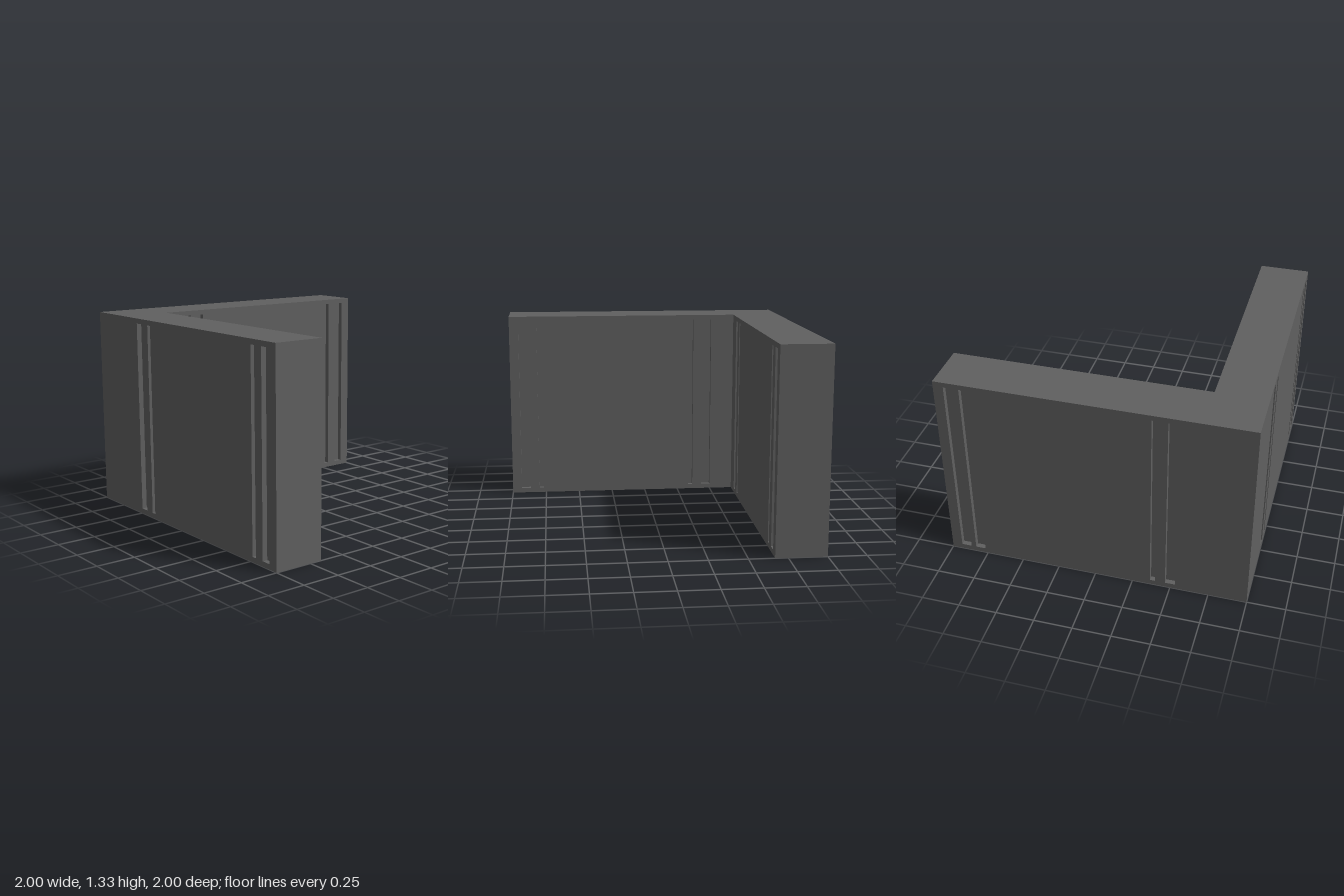
import * as THREE from 'three';
import { mergeGeometries } from 'three/addons/utils/BufferGeometryUtils.js';

const U = 1 / 30;            // layout unit
const H = 40 * U;            // wall height
const INNER = -20 * U;       // inner corner of the L, on x and z
const G0 = U, G1 = 39 * U;   // bottom and top of the grooves
const DEPTH = U;

// Five-sided recess, open toward +z, with its faces turned inward
function recess(a, b) {
  const g = new THREE.BoxGeometry(b - a, G1 - G0, DEPTH);
  const index = Array.from(g.index.array);
  index.splice(24, 6); // drop the front
  g.setIndex(index.reverse());
  g.clearGroups();
  g.computeVertexNormals();
  g.translate((a + b) / 2, (G0 + G1) / 2, -DEPTH / 2);
  return g;
}

function rectangle(Type, x0, x1, y0, y1) {
  return new Type([[x0, y0], [x1, y0], [x1, y1], [x0, y1]].map(([x, y]) => new THREE.Vector2(x, y)));
}

// Upright wall face in the local xy plane, pierced by vertical grooves
function wallFace(x0, x1, grooves) {
  const shape = rectangle(THREE.Shape, x0, x1, 0, H);
  const spans = grooves.map(([a, b]) => [Math.min(a, b) * U, Math.max(a, b) * U]);
  spans.forEach(([a, b]) => shape.holes.push(rectangle(THREE.Path, a, b, G0, G1)));
  return mergeGeometries([new THREE.ShapeGeometry(shape), ...spans.map(([a, b]) => recess(a, b))]);
}

export function createModel() {
  const model = new THREE.Group();
  model.name = 'cornerWall';
  const stone = new THREE.MeshStandardMaterial({ color: 0x606060 });
  stone.name = 'darkGrey';

  const add = (name, geometry, x, y, z, ry = 0, rx = 0) => {
    const mesh = new THREE.Mesh(geometry, stone);
    mesh.name = name;
    mesh.position.set(x, y, z);
    mesh.rotation.set(rx, ry, 0);
    model.add(mesh);
  };
  const mirrored = (list) => list.map(([a, b]) => [-a, -b]);

  // Groove spans along x (back wall) and along z (side wall)
  const frontGrooves = [[-16, -14], [-12, -11], [23, 24], [26, 28]];
  const backGrooves = [[-16, -14], [-12, -11], [23, 25], [26, 28]];
  const sideGrooves = [[-15, -13], [-11, -10], [23, 24], [26, 28]];

  // Grooved faces of the two walls
  add('backWallInnerFace', wallFace(INNER, 1, frontGrooves), 0, 0, INNER);
  add('backWallOuterFace', wallFace(-1, 1, mirrored(backGrooves)), 0, 0, -1, Math.PI);
  add('sideWallInnerFace', wallFace(-1, -INNER, mirrored(sideGrooves)), INNER, 0, 0, Math.PI / 2);
  add('sideWallOuterFace', wallFace(-1, 1, sideGrooves), -1, 0, 0, -Math.PI / 2);

  // Plain wall ends
  add('sideWallEnd', wallFace(-1, INNER, []), 0, 0, 1);
  add('backWallEnd', wallFace(-INNER, 1, []), 1, 0, 0, Math.PI / 2);

  // L-shaped top and underside; the plan is drawn with its y along +z or -z
  const plan = (s) => new THREE.ShapeGeometry(new THREE.Shape(
    [[-1, -1], [1, -1], [1, INNER], [INNER, INNER], [INNER, 1], [-1, 1]]
      .map(([x, z]) => new THREE.Vector2(x, s * z))));
  add('wallTop', plan(-1), 0, H, 0, 0, -Math.PI / 2);
  add('wallUnderside', plan(1), 0, 0, 0, 0, Math.PI / 2);

  return model;
}
